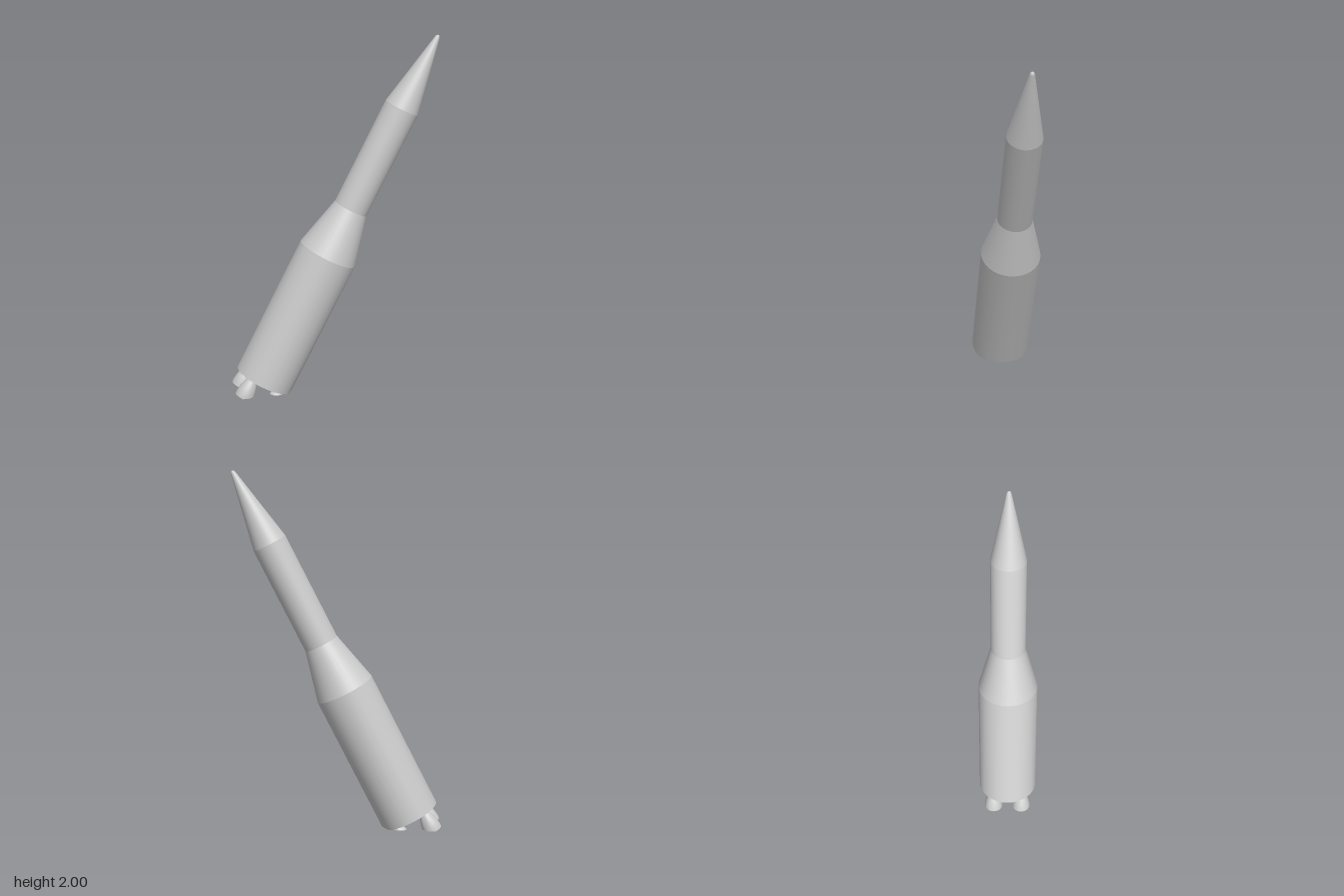
import * as THREE from 'three';
import { toCreasedNormals } from 'three/addons/utils/BufferGeometryUtils.js';
import { ConvexGeometry } from 'three/addons/geometries/ConvexGeometry.js';

const material = new THREE.MeshStandardMaterial({ color: 0xcccccc });
const TILT = 0.469; // lean of the rocket towards +x
const BASE = [-0.41, 0.058, 0]; // centre of the rocket's underside
const SIDES = 32;

// Lean a geometry modelled along +y and place it on the rocket's axis
const lean = (geometry) => geometry.rotateZ(-TILT).translate(...BASE);

// Cut a convex solid at the ground and close the cut with a flat face
function cutAtGround(geometry) {
  const pos = geometry.attributes.position, index = geometry.index;
  const points = [];
  const vertex = (i) => new THREE.Vector3().fromBufferAttribute(pos, i);
  for (let i = 0; i < pos.count; i++) if (pos.getY(i) >= 0) points.push(vertex(i));
  for (let t = 0; t < index.count; t += 3) {
    for (let k = 0; k < 3; k++) {
      const a = vertex(index.getX(t + k)), b = vertex(index.getX(t + ((k + 1) % 3)));
      if (a.y > 0 && b.y < 0) points.push(a.lerp(b, a.y / (a.y - b.y)).setY(0));
    }
  }
  // merge points that coincide before wrapping the hull
  const unique = new Map(points.map((p) => [p.toArray().map((v) => Math.round(v * 1e4)).join(), p]));
  return toCreasedNormals(new ConvexGeometry([...unique.values()]), 0.7);
}

export function createModel() {
  const rocket = new THREE.Group();
  rocket.name = 'rocket';
  const add = (name, geometry) => {
    const mesh = new THREE.Mesh(geometry, material);
    mesh.name = name;
    rocket.add(mesh);
  };

  // First stage, its lowest rim cut by the ground
  const stage = new THREE.CylinderGeometry(0.169, 0.169, 0.816, SIDES).translate(0, 0.408, 0);
  add('firstStage', cutAtGround(lean(stage)));

  // Upper sections as [name, profile of radius and height along the axis]
  const sections = [
    ['interstage', [[0.169, 0.816], [0.098, 1.106]]],
    ['secondStage', [[0.098, 1.106], [0.098, 1.731]]],
    ['noseCone', [[0.098, 1.731], [0.014, 2.16], [0.009, 2.172], [0, 2.176]]],
  ];
  for (const [name, profile] of sections) {
    const points = profile.map(([r, y]) => new THREE.Vector2(r, y));
    add(name, lean(new THREE.LatheGeometry(points, SIDES)));
  }

  // Four engine bells, cut by the ground
  const bell = [[0, 0.01], [0.022, 0.01], [0.036, -0.025], [0.047, -0.06], [0.053, -0.095], [0.053, -0.115], [0, -0.13]]
    .map(([r, y]) => new THREE.Vector2(r, y)).reverse();
  for (const x of [-0.085, 0.085]) {
    for (const z of [-0.083, 0.083]) {
      const geometry = new THREE.LatheGeometry(bell, 24).translate(x, 0, z);
      add(`${x < 0 ? 'upper' : 'lower'}${z < 0 ? 'Back' : 'Front'}Nozzle`, cutAtGround(lean(geometry)));
    }
  }
  return rocket;
}
